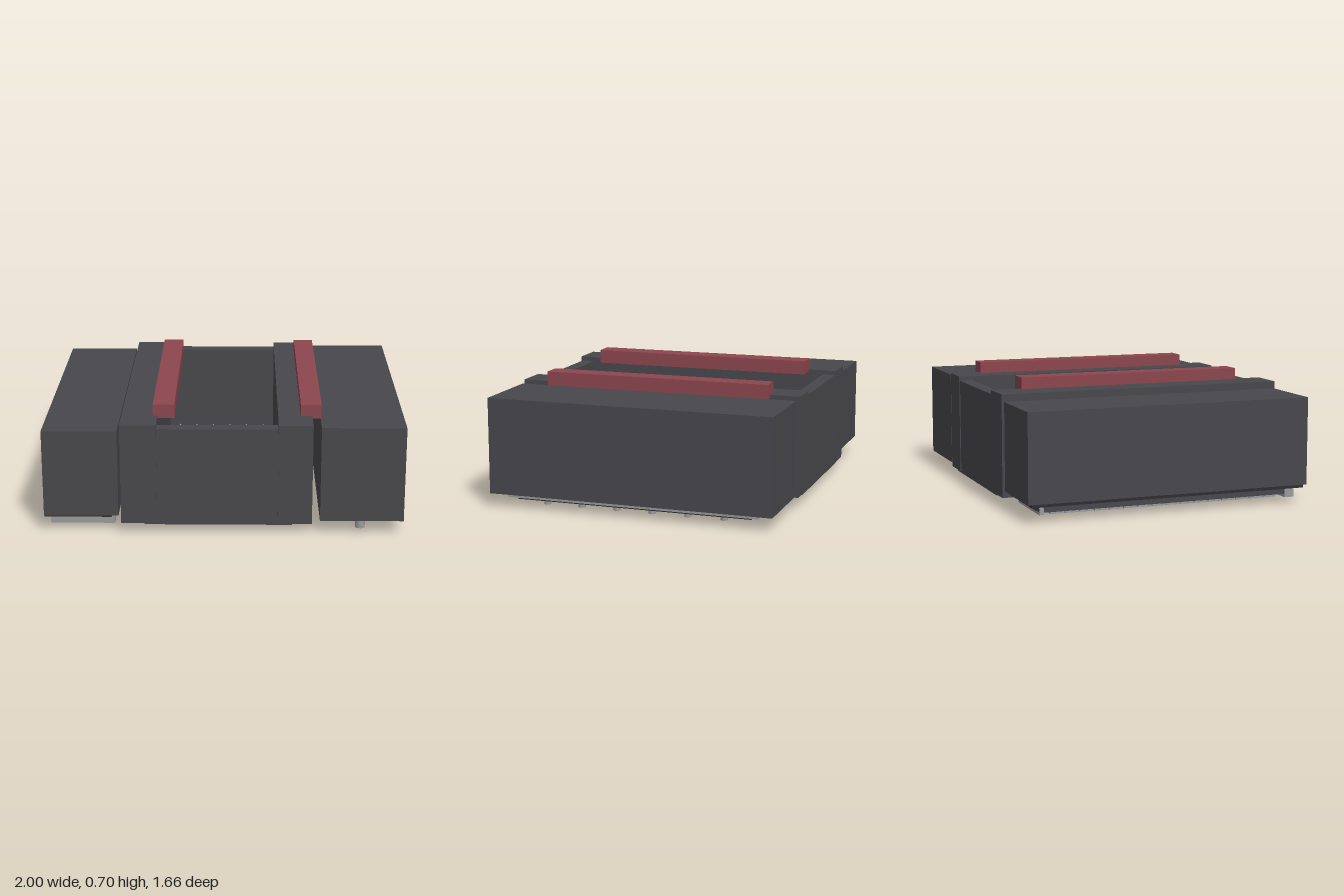
import * as THREE from 'three';

const mat = (color, extra = {}) => {
  const m = new THREE.MeshStandardMaterial({ color, ...extra });
  return m;
};

export function createModel() {
  const model = new THREE.Group();
  const dark = mat(0x48474b);
  const black = mat(0x2e2e31);
  const grey = mat(0x9a9a9a);
  const red = mat(0x8c464e);
  const pleat = mat(0x9a9a9a, { flatShading: true, side: THREE.DoubleSide });

  // Box given by its extents on each axis
  const box = (name, [x0, x1], [y0, y1], [z0, z1], material, parent = model) => {
    const mesh = new THREE.Mesh(new THREE.BoxGeometry(x1 - x0, y1 - y0, z1 - z0), material);
    mesh.position.set((x0 + x1) / 2, (y0 + y1) / 2, (z0 + z1) / 2);
    mesh.name = name;
    parent.add(mesh);
    return mesh;
  };
  const group = (name) => {
    const g = new THREE.Group();
    g.name = name;
    model.add(g);
    return g;
  };
  const cylinder = (name, r, x, [y0, y1], z, parent) => {
    const mesh = new THREE.Mesh(new THREE.CylinderGeometry(r, r, y1 - y0, 16), grey);
    mesh.position.set(x, (y0 + y1) / 2, z);
    mesh.name = name;
    parent.add(mesh);
  };

  // Outer cases
  box('trebleCase', [-1, -0.585], [0.1, 0.595], [-0.82, 0.82], dark);
  box('bassCase', [0.535, 1], [0.075, 0.62], [-0.82, 0.82], dark);

  // Open frame around the bellows
  const frame = group('bellowsFrame');
  box('frameSide', [-0.57, -0.37], [0.06, 0.635], [-0.83, 0.83], dark, frame);
  box('frameSide', [0.3, 0.49], [0.06, 0.635], [-0.83, 0.83], dark, frame);
  for (const s of [-1, 1]) {
    const z = s < 0 ? [-0.825, -0.75] : [0.745, 0.82];
    box('frameEnd', [-0.37, 0.3], [0.05, 0.61], z, dark, frame);
    box('frameEndLip', [-0.44, 0.38], [0.05, 0.08], z, dark, frame);
  }

  // Pleated bellows: a sheet folded by alternating rows of heights
  const folds = 12;
  const sheet = new THREE.PlaneGeometry(0.65, 1.5, folds, 1).rotateX(-Math.PI / 2);
  const p = sheet.attributes.position;
  for (let i = 0; i < p.count; i++) {
    const column = i % (folds + 1);
    p.setXYZ(i, p.getX(i) - 0.035, column % 2 ? 0.105 : 0.035, p.getZ(i));
  }
  sheet.computeVertexNormals();
  const bellows = new THREE.Mesh(sheet, pleat);
  bellows.name = 'bellows';
  model.add(bellows);

  // Straps
  box('strap', [-0.395, -0.275], [0.62, 0.7], [-0.66, 0.66], red);
  box('strap', [0.425, 0.54], [0.62, 0.7], [-0.66, 0.66], red);

  // Bass panel with six rows of four buttons
  const bass = group('bassPanel');
  box('panelRim', [0.57, 0.955], [0.05, 0.076], [-0.73, 0.73], grey, bass);
  box('panelPlate', [0.6, 0.925], [0.036, 0.051], [-0.685, 0.685], black, bass);
  for (let row = 0; row < 6; row++) {
    for (let col = 0; col < 4; col++) {
      cylinder('bassButton', 0.02, 0.65 + col * 0.077, [0.01, 0.037], -0.52 + row * 0.208, bass);
    }
  }
  cylinder('airButton', 0.027, 0.76, [0.03, 0.076], 0.79, bass);

  // Keyboard
  const keyboard = group('keyboard');
  box('keyBed', [-1, -0.625], [0.085, 0.101], [-0.8, 0.8], black, keyboard);
  box('keyTray', [-0.97, -0.615], [0.05, 0.086], [-0.75, 0.75], dark, keyboard);
  box('keyEndBlock', [-0.97, -0.61], [0.03, 0.086], [0.7, 0.755], grey, keyboard);
  box('keyEndRail', [-0.97, -0.61], [0.038, 0.086], [-0.75, -0.725], grey, keyboard);
  const pitch = 0.0835, start = -0.685;
  for (let k = 0; k < 16; k++) {
    const z = start + k * pitch;
    box('whiteKey', [-0.955, -0.635], [0.036, 0.06], [z + 0.003, z + pitch - 0.003], grey, keyboard);
  }
  // Black keys in alternating groups of two and three
  for (const k of [2, 3, 5, 6, 7, 9, 10, 12, 13, 14]) {
    const z = start + k * pitch;
    box('blackKey', [-0.77, -0.635], [0.021, 0.045], [z - 0.018, z + 0.018], black, keyboard);
  }

  // Register switch beside the keyboard
  const register = group('registerSwitch');
  box('switchPlate', [-0.535, -0.415], [0.012, 0.035], [0.41, 0.69], grey, register);
  box('switchTop', [-0.52, -0.43], [0, 0.013], [0.43, 0.67], black, register);

  return model;
}
